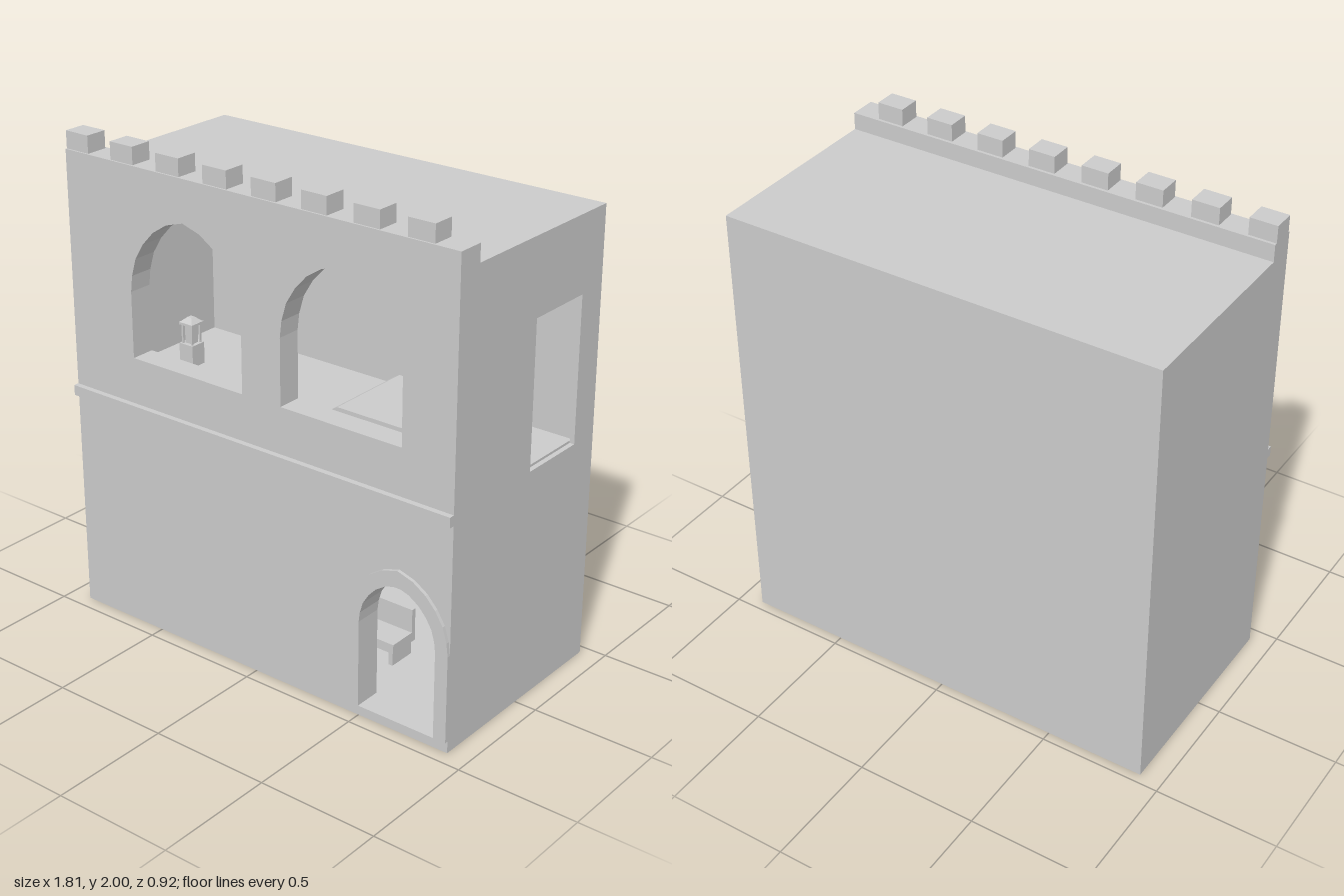
import * as THREE from 'three';

const material = new THREE.MeshStandardMaterial({ color: 0xcccccc, flatShading: true });

function add(parent, name, geometry, x = 0, y = 0, z = 0) {
  const mesh = new THREE.Mesh(geometry, material);
  mesh.name = name;
  mesh.position.set(x, y, z);
  parent.add(mesh);
  return mesh;
}

// Box given by its limits on each axis
function block(parent, name, [x0, x1], [y0, y1], [z0, z1]) {
  return add(parent, name, new THREE.BoxGeometry(x1 - x0, y1 - y0, z1 - z0),
    (x0 + x1) / 2, (y0 + y1) / 2, (z0 + z1) / 2);
}

// Outline of a slightly pointed arch
function archPoints(cx, half, bottom, spring, top) {
  const curve = [[1, 0], [0.97, 0.2], [0.89, 0.42], [0.74, 0.62], [0.55, 0.79], [0.3, 0.925], [0, 1]];
  const at = (side, [u, v]) => new THREE.Vector2(cx + side * u * half, spring + v * (top - spring));
  return [
    new THREE.Vector2(cx - half, bottom),
    new THREE.Vector2(cx + half, bottom),
    ...curve.map((p) => at(1, p)),
    ...curve.slice(0, -1).reverse().map((p) => at(-1, p)),
  ];
}

const rectangle = (x0, x1, y0, y1) => [[x0, y0], [x1, y0], [x1, y1], [x0, y1]].map((p) => new THREE.Vector2(...p));

// Flat wall panel with openings
function panel(outline, holes, depth) {
  const shape = new THREE.Shape(outline);
  holes.forEach((h) => shape.holes.push(new THREE.Path(h)));
  return new THREE.ExtrudeGeometry(shape, { depth, bevelEnabled: false });
}

function lantern(parent, name, x, y, z) {
  const g = new THREE.Group();
  g.name = name;
  g.position.set(x, y, z);
  add(g, 'lanternBase', new THREE.BoxGeometry(0.07, 0.012, 0.07), 0, 0.006, 0);
  add(g, 'lanternGlass', new THREE.BoxGeometry(0.036, 0.08, 0.036), 0, 0.052, 0);
  for (const sx of [-1, 1]) for (const sz of [-1, 1])
    add(g, 'lanternPost', new THREE.BoxGeometry(0.008, 0.08, 0.008), sx * 0.024, 0.052, sz * 0.024);
  add(g, 'lanternRim', new THREE.BoxGeometry(0.07, 0.01, 0.07), 0, 0.097, 0);
  const cap = add(g, 'lanternCap', new THREE.CylinderGeometry(0.014, 0.046, 0.02, 4), 0, 0.112, 0);
  cap.rotation.y = Math.PI / 4;
  parent.add(g);
  return g;
}

export function createModel() {
  const model = new THREE.Group();
  model.name = 'battlementedHouse';
  const W = 0.907, FRONT = 0.44, BACK = -0.46, ROOF = 1.86;
  const inner = W - 0.02, backInner = -0.345, frontInner = 0.34;

  // Front wall with two arched windows and a doorway
  const openings = [
    archPoints(-0.322, 0.273, 1.16, 1.43, 1.76),
    archPoints(0.407, 0.273, 1.16, 1.43, 1.76),
    archPoints(0.68, 0.172, 0.05, 0.41, 0.615),
  ];
  add(model, 'frontWall', panel(rectangle(-W, W, 0, 1.93), openings, FRONT - frontInner), 0, 0, frontInner);

  // Side walls, the one on the left pierced by a rectangular window
  const side = panel(rectangle(-frontInner, -backInner, 0, ROOF),
    [rectangle(0.033, 0.33, 0.955, 1.55)], 0.02);
  add(model, 'leftWall', side, inner).rotation.y = Math.PI / 2;
  block(model, 'rightWall', [-W, -inner], [0, ROOF], [backInner, frontInner]);

  // Back wall, floors and roof
  block(model, 'backWall', [-W, W], [0, ROOF], [BACK, backInner]);
  block(model, 'groundFloor', [-inner, inner], [0, 0.05], [backInner, frontInner]);
  block(model, 'upperFloor', [-inner, inner], [0.9, 0.965], [backInner, frontInner]);
  block(model, 'roof', [-inner, inner], [1.8, ROOF], [backInner, frontInner]);

  // Parapet and merlons
  block(model, 'parapet', [-W, W], [ROOF, 1.93], [0.33, frontInner]);
  for (let i = 0; i < 8; i++) {
    const x = -W + i * 0.2275;
    block(model, 'merlon', [x, x + 0.112], [1.93, 2], [0.342, 0.433]);
  }

  // String course and door surround
  block(model, 'stringCourse', [-W, W], [0.928, 0.97], [FRONT, 0.463]);
  add(model, 'doorSurround', panel(archPoints(0.68, 0.227, 0.05, 0.41, 0.68),
    [archPoints(0.68, 0.172, 0.0501, 0.41, 0.615)], 0.014), 0, 0, FRONT);

  // Raised platform behind the window, with a sloped end
  const platform = [[0.27, 0.965], [0.885, 0.965], [0.885, 1.175], [0.315, 1.175], [0.29, 1.16]]
    .map((p) => new THREE.Vector2(...p));
  add(model, 'platform', panel(platform, [], 0.373), 0, 0, -0.035);

  // Lanterns: one hanging, one on a stand
  lantern(model, 'hangingLantern', 0.662, 1.42, 0.005);
  add(model, 'lanternRod', new THREE.CylinderGeometry(0.004, 0.004, 0.27, 6), 0.662, 1.667, 0.005);
  lantern(model, 'standingLantern', -0.7, 1.045, 0);
  block(model, 'lanternStand', [-0.735, -0.665], [0.965, 1.045], [-0.035, 0.035]);

  // Bench inside the doorway
  block(model, 'benchSeat', [0.2, 0.45], [0.11, 0.15], [0.02, 0.16]);
  block(model, 'benchBack', [0.2, 0.45], [0.15, 0.25], [0.02, 0.04]);
  for (const x of [0.21, 0.42]) block(model, 'benchLeg', [x, x + 0.02], [0.05, 0.11], [0.03, 0.15]);

  return model;
}
